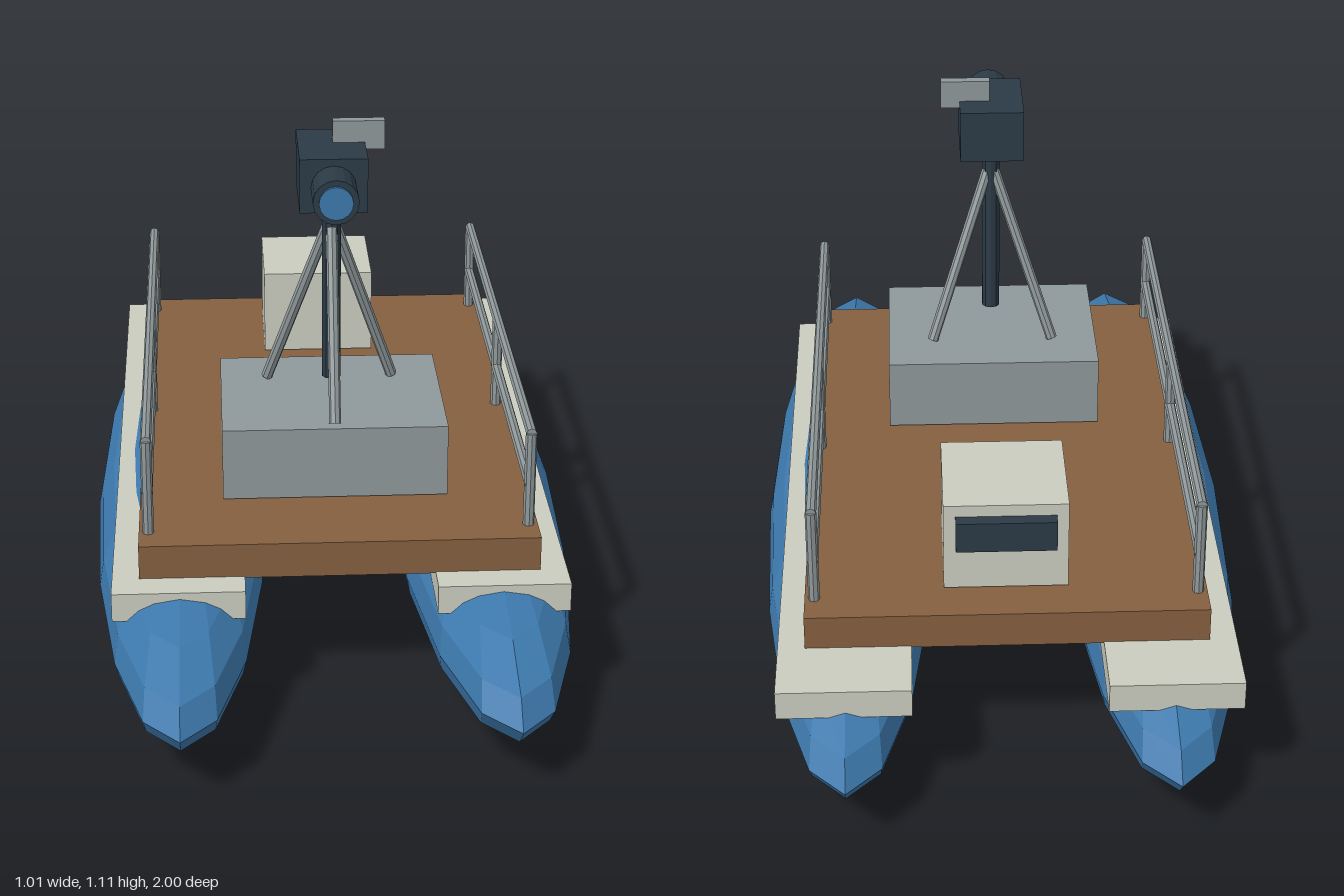
import * as THREE from 'three';

const mat = (name, color) => {
  const m = new THREE.MeshStandardMaterial({ color, flatShading: true });
  m.name = name;
  return m;
};

export function createModel() {
  const blue = mat('hull blue', 0x3d79ad);
  const cream = mat('cream', 0xcbccc0);
  const brown = mat('deck brown', 0x85603f);
  const grey = mat('metal grey', 0x8f989a);
  const dark = mat('dark slate', 0x2b3a46);

  const model = new THREE.Group();
  model.name = 'catamaranCameraPlatform';

  const add = (parent, name, geometry, material) => {
    const mesh = new THREE.Mesh(geometry, material);
    mesh.name = name;
    parent.add(mesh);
    return mesh;
  };

  const group = (name) => {
    const g = new THREE.Group();
    g.name = name;
    model.add(g);
    return g;
  };

  // Box given by its minimum and maximum corners
  const box = (parent, name, material, [x0, y0, z0], [x1, y1, z1]) => {
    const mesh = add(parent, name, new THREE.BoxGeometry(x1 - x0, y1 - y0, z1 - z0), material);
    mesh.position.set((x0 + x1) / 2, (y0 + y1) / 2, (z0 + z1) / 2);
    return mesh;
  };

  // Cylinder running between two points
  const rod = (parent, name, material, from, to, radius, sides = 8) => {
    const a = new THREE.Vector3(...from);
    const b = new THREE.Vector3(...to);
    const mesh = add(parent, name, new THREE.CylinderGeometry(radius, radius, a.distanceTo(b), sides), material);
    mesh.position.copy(a).add(b).multiplyScalar(0.5);
    mesh.quaternion.setFromUnitVectors(new THREE.Vector3(0, 1, 0), b.sub(a).normalize());
    return mesh;
  };

  // Floats, saddle beams and guard rails, mirrored on both sides
  for (const s of [1, -1]) {
    const side = s > 0 ? 'left' : 'right';

    const hull = add(model, side + 'Hull', new THREE.SphereGeometry(1, 16, 10), blue);
    hull.scale.set(0.183, 0.155, 1);
    hull.position.set(0.32 * s, 0.157, 0);

    const beam = box(model, side + 'HullBeam', cream, [-0.132, 0.225, -0.85], [0.132, 0.285, 0.66]);
    beam.position.x = 0.322 * s;

    const railing = group(side + 'Railing');
    const x = 0.381 * s;
    for (const z of [0.535, -0.05, -0.635])
      rod(railing, 'railingPost', grey, [x, 0.355, z], [x, 0.557, z], 0.0115);
    for (const y of [0.557, 0.445])
      rod(railing, 'railingBar', grey, [x, y, 0.54], [x, y, -0.64], 0.011);
  }

  // Deck and the boxes standing on it
  box(model, 'deck', brown, [-0.4, 0.282, -0.703], [0.4, 0.356, 0.597]);
  box(model, 'tripodBase', grey, [-0.23, 0.36, 0.03], [0.23, 0.513, 0.403]);
  box(model, 'equipmentBox', cream, [-0.124, 0.36, -0.612], [0.124, 0.55, -0.367]);
  box(model, 'rearPanel', dark, [-0.1, 0.46, -0.639], [0.1, 0.525, -0.61]);

  // Tripod
  const tripod = group('tripod');
  rod(tripod, 'mast', dark, [0, 0.557, 0.23], [0, 0.955, 0.23], 0.02, 10);
  for (const [x, z] of [[0.132, 0.137], [-0.132, 0.137], [0, 0.385]])
    rod(tripod, 'tripodLeg', grey, [x, 0.517, z], [0, 0.91, 0.23], 0.012);

  // Camera
  const camera = group('cameraHead');
  box(camera, 'cameraBody', dark, [-0.068, 0.95, 0.132], [0.068, 1.062, 0.325]);
  rod(camera, 'lensBarrel', dark, [0, 1.002, 0.31], [0, 1.002, 0.412], 0.046, 16);
  rod(camera, 'lensGlass', blue, [0, 1.002, 0.411], [0, 1.002, 0.419], 0.034, 16);
  box(camera, 'sidePlate', grey, [0.003, 1.047, 0.199], [0.108, 1.107, 0.221]);

  return model;
}
